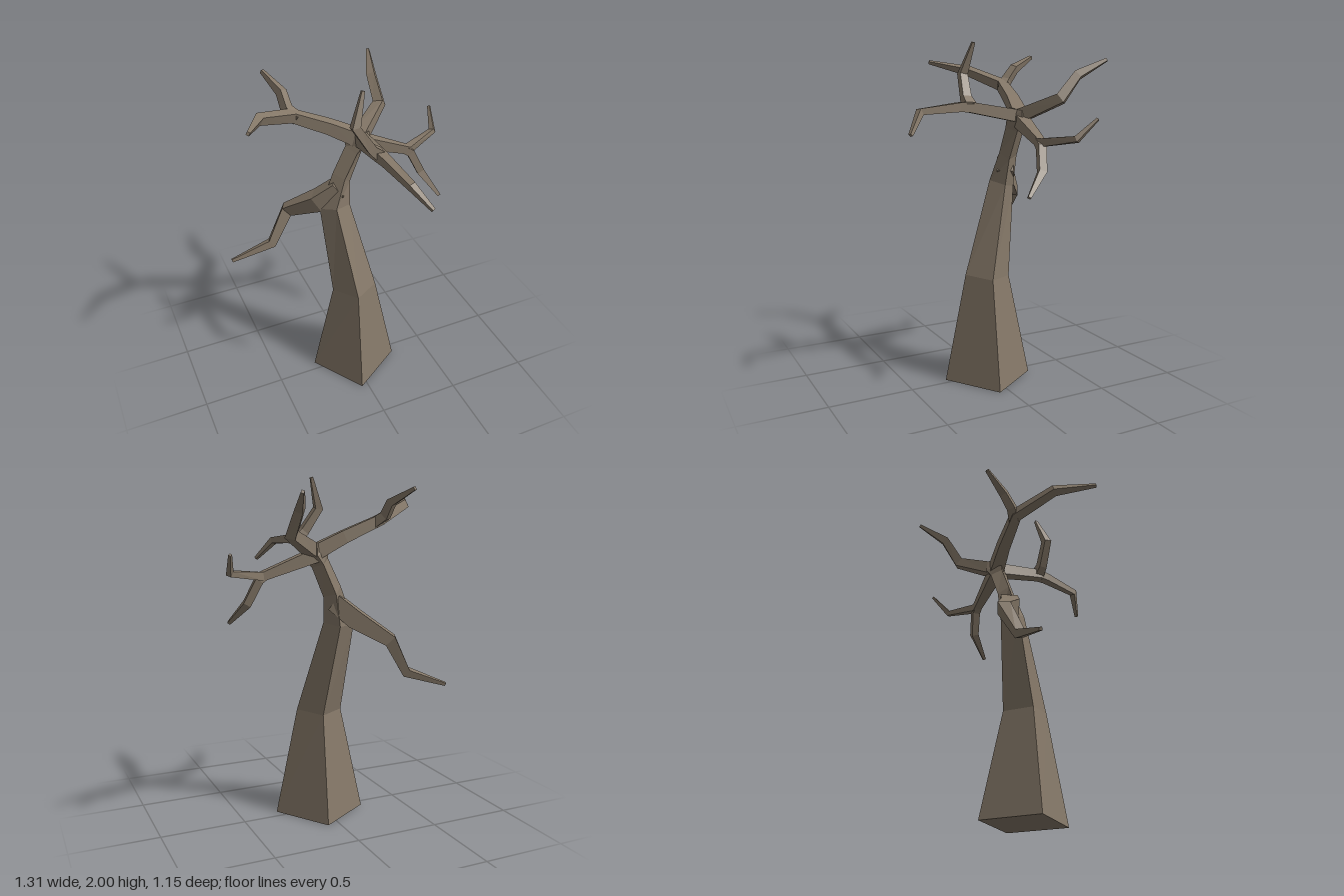
import * as THREE from 'three';

const bark = new THREE.MeshStandardMaterial({ color: 0x857868, flatShading: true, roughness: 1 });
const vec = (p) => new THREE.Vector3(...p);

// Skin a run of four-cornered rings (counter-clockwise about the direction of growth), capped at both ends
function loft(name, rings) {
  const pos = [];
  const quad = (a, b, c, d) => [a, b, c, a, c, d].forEach((p) => pos.push(p.x, p.y, p.z));
  for (let r = 0; r < rings.length - 1; r++) {
    const lower = rings[r], upper = rings[r + 1];
    for (let i = 0; i < 4; i++) {
      const j = (i + 1) % 4;
      quad(lower[i], lower[j], upper[j], upper[i]);
    }
  }
  quad(...[...rings[0]].reverse());
  quad(...rings[rings.length - 1]);
  const geometry = new THREE.BufferGeometry();
  geometry.setAttribute('position', new THREE.Float32BufferAttribute(pos, 3));
  geometry.computeVertexNormals();
  const mesh = new THREE.Mesh(geometry, bark);
  mesh.name = name;
  return mesh;
}

// Square-section limb along [x, y, z, radius] stations, radius measured to the corners
function limb(name, stations) {
  const pts = stations.map((s) => vec(s.slice(0, 3)));
  let side = null;
  const rings = pts.map((p, i) => {
    const before = p.clone().sub(pts[Math.max(i - 1, 0)]).normalize();
    const after = pts[Math.min(i + 1, pts.length - 1)].clone().sub(p).normalize();
    const t = before.add(after).normalize();
    // carry the side direction along so that the limb does not twist
    side = side ? side.addScaledVector(t, -side.dot(t)).normalize()
      : t.clone().cross(new THREE.Vector3(0, 1, 0)).normalize();
    const up = t.clone().cross(side);
    return [0, 1, 2, 3].map((k) => {
      const a = Math.PI / 4 + k * Math.PI / 2, r = stations[i][3];
      return p.clone().addScaledVector(side, r * Math.cos(a)).addScaledVector(up, r * Math.sin(a));
    });
  });
  return loft(name, rings);
}

export function createModel() {
  const tree = new THREE.Group();
  tree.name = 'bareTree';

  // Leaning trunk: corners run left, front, right, back; it swells into the crown hub
  const trunkRings = [
    [[-0.245, 0, -0.055], [-0.04, 0, 0.265], [0.275, 0, 0.06], [0.07, 0, -0.25]],
    [[-0.115, 0.63, -0.02], [-0.015, 0.65, 0.14], [0.145, 0.64, 0.04], [0.045, 0.63, -0.12]],
    [[-0.14, 1.17, -0.14], [-0.07, 1.2, -0.05], [0.035, 1.18, -0.1], [-0.03, 1.16, -0.19]],
    [[-0.05, 1.39, -0.15], [-0.005, 1.37, -0.08], [0.045, 1.33, -0.12], [0, 1.35, -0.195]],
    [[0.03, 1.55, -0.15], [0.07, 1.52, -0.08], [0.12, 1.5, -0.13], [0.08, 1.52, -0.2]],
    [[0.03, 1.6, -0.16], [0.1, 1.57, -0.07], [0.18, 1.56, -0.13], [0.12, 1.57, -0.21]],
    [[0.06, 1.64, -0.15], [0.1, 1.64, -0.09], [0.17, 1.62, -0.13], [0.12, 1.64, -0.2]],
  ];
  tree.add(loft('trunk', trunkRings.map((ring) => ring.map(vec))));

  // Limbs and their forked twigs
  const limbs = {
    lowBranch: [[-0.02, 1.3, -0.13, 0.07], [-0.13, 1.2, -0.19, 0.075], [-0.28, 1.09, -0.325, 0.05],
      [-0.4, 0.89, -0.3, 0.036], [-0.65, 0.8, -0.34, 0.013]],
    rightCrownBranch: [[0.1, 1.59, -0.15, 0.06], [-0.05, 1.67, -0.19, 0.05], [-0.25, 1.76, -0.23, 0.042],
      [-0.475, 1.845, -0.11, 0.034], [-0.595, 1.9, 0.11, 0.013]],
    rightCrownTwig: [[-0.22, 1.74, -0.22, 0.04], [-0.265, 1.785, -0.27, 0.036],
      [-0.27, 1.86, -0.33, 0.032], [-0.325, 1.93, -0.48, 0.014]],
    frontBranch: [[0.11, 1.59, -0.13, 0.05], [0.09, 1.645, 0.17, 0.041], [0.095, 1.645, 0.23, 0.036],
      [0.12, 1.625, 0.47, 0.027], [0.205, 1.51, 0.56, 0.013]],
    frontUprightTwig: [[0.1, 1.64, 0.16, 0.045], [0.045, 1.69, 0.16, 0.036],
      [-0.04, 1.825, 0.14, 0.033], [0.02, 2, 0.1, 0.012]],
    backBranch: [[0.12, 1.59, -0.15, 0.055], [0.31, 1.69, -0.3, 0.042],
      [0.31, 1.82, -0.41, 0.034], [0.36, 1.905, -0.57, 0.012]],
    leftBranch: [[0.11, 1.57, -0.15, 0.055], [0.41, 1.46, -0.11, 0.034],
      [0.62, 1.49, -0.2, 0.023], [0.65, 1.595, -0.31, 0.01]],
    leftDroopingTwig: [[0.38, 1.47, -0.11, 0.03], [0.425, 1.44, -0.105, 0.033],
      [0.485, 1.31, -0.075, 0.031], [0.555, 1.19, 0.045, 0.013]],
  };
  for (const [name, stations] of Object.entries(limbs)) tree.add(limb(name, stations));

  return tree;
}
